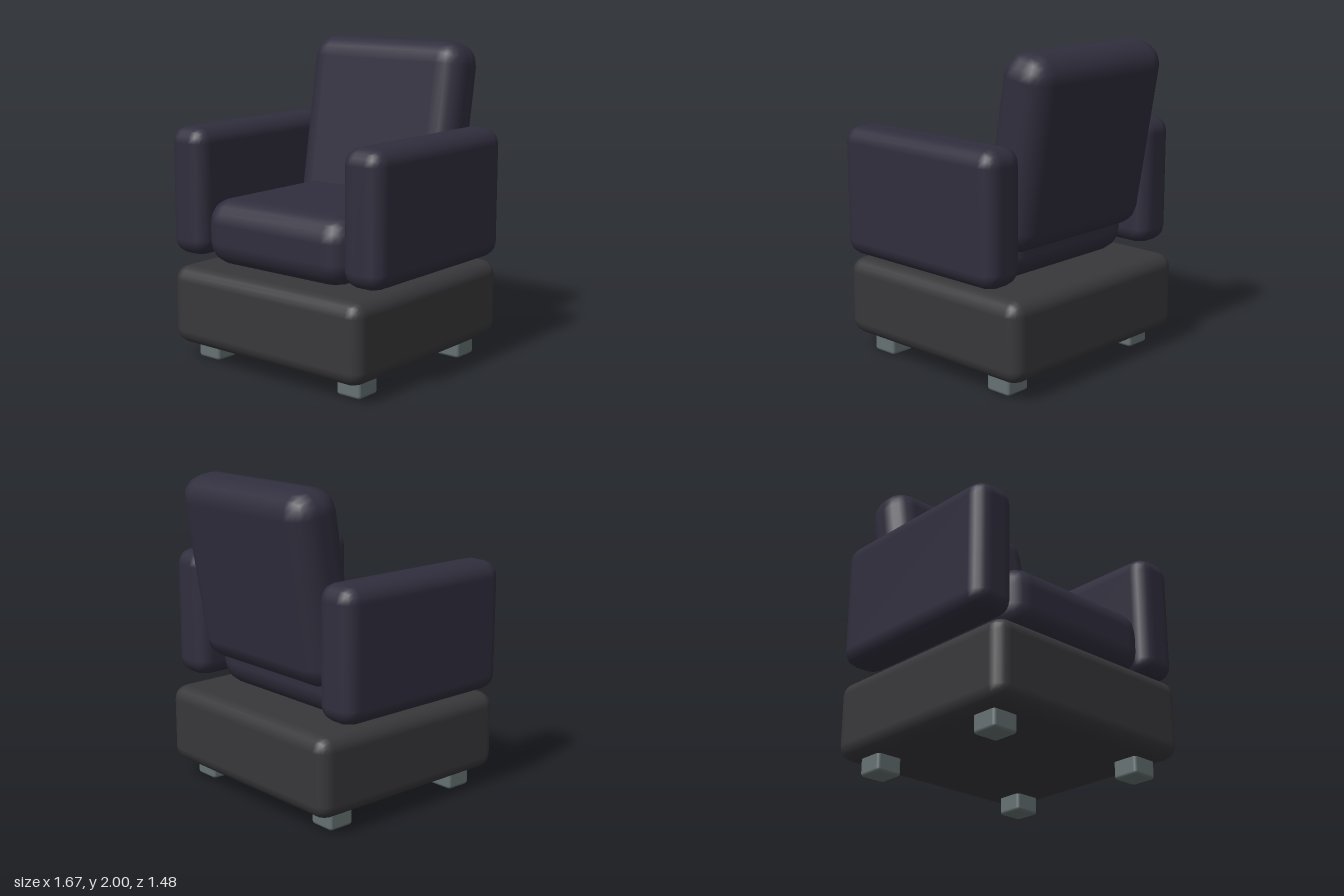
import * as THREE from 'three';
import { RoundedBoxGeometry } from 'three/addons/geometries/RoundedBoxGeometry.js';

export function createModel() {
  const model = new THREE.Group();
  model.name = 'armchair';

  const material = (name, color) => {
    const m = new THREE.MeshStandardMaterial({ color });
    m.name = name;
    return m;
  };
  const fabric = material('dark violet fabric', 0x302e3d);
  const charcoal = material('charcoal base', 0x38383b);
  const metal = material('grey feet', 0x667172);

  // Softly rounded block: size [w, h, d], centre [x, y, z]
  const block = (name, size, centre, radius, mat) => {
    const mesh = new THREE.Mesh(new RoundedBoxGeometry(...size, 2, radius), mat);
    mesh.name = name;
    mesh.position.set(...centre);
    model.add(mesh);
    return mesh;
  };

  // Plinth and seat cushion
  block('base', [1.5, 0.5, 1.46], [0, 0.36, 0.015], 0.09, charcoal);
  block('seatCushion', [1.12, 0.42, 1.14], [0, 0.84, 0.09], 0.15, fabric);

  // Reclined back cushion
  const back = block('backCushion', [1.19, 1.19, 0.345], [0, 1.407, -0.495], 0.15, fabric);
  back.rotation.x = -0.165;

  // Armrests and feet, mirrored left and right
  for (const [side, s] of [['left', 1], ['right', -1]]) {
    block(side + 'Armrest', [0.285, 0.815, 1.275], [s * 0.693, 1.073, 0.033], 0.1, fabric);
    block(side + 'FrontFoot', [0.175, 0.175, 0.175], [s * 0.57, 0.0875, 0.517], 0.02, metal);
    block(side + 'BackFoot', [0.175, 0.175, 0.175], [s * 0.57, 0.0875, -0.485], 0.02, metal);
  }

  return model;
}
